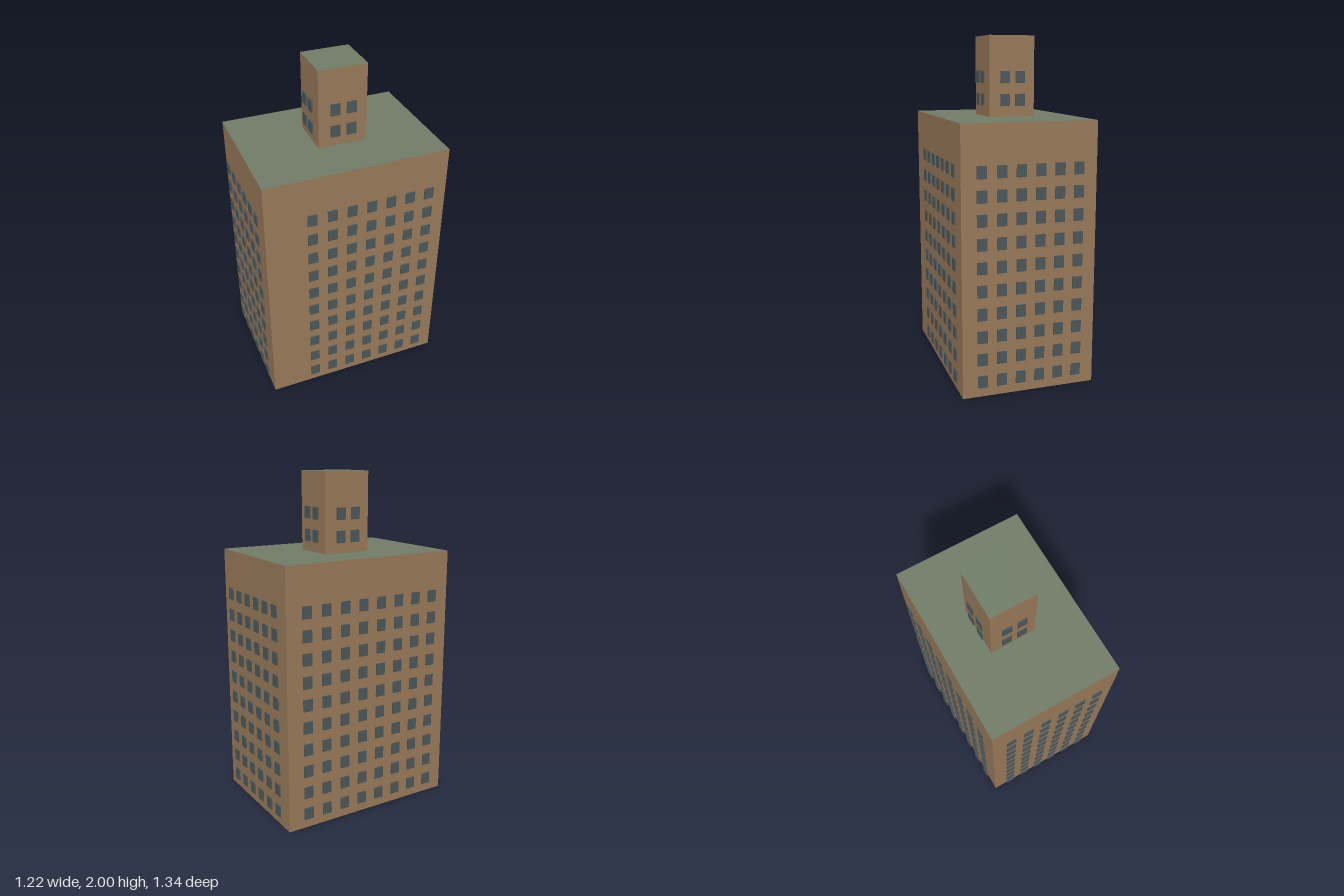
import * as THREE from 'three';
import { mergeGeometries } from 'three/addons/utils/BufferGeometryUtils.js';

const wall = new THREE.MeshStandardMaterial({ color: 0x967858 });
const roof = new THREE.MeshStandardMaterial({ color: 0x6f7c67 });
const glass = new THREE.MeshStandardMaterial({ color: 0x4a5659 });

const WIN_W = 0.057, WIN_H = 0.07, WIN_T = 0.007, WIN_OFFSET = 0.013;
const FLOOR = 0.1314;

// Evenly spaced positions centred on a wall, with equal end margins
const spread = (count, width) =>
  Array.from({ length: count }, (_, i) => ((i + 1) / (count + 1) - 0.5) * width);

const floors = (count, first) => Array.from({ length: count }, (_, i) => first + i * FLOOR);

// Grid of window panes just proud of one wall; turn is the wall's heading
function windowGrid(name, columns, rows, distance, turn) {
  const panes = [];
  for (const x of columns) {
    for (const y of rows) {
      panes.push(new THREE.BoxGeometry(WIN_W, WIN_H, WIN_T).translate(x, y, distance + WIN_OFFSET));
    }
  }
  const mesh = new THREE.Mesh(mergeGeometries(panes), glass);
  mesh.name = name;
  mesh.rotation.y = turn;
  return mesh;
}

// Box block with a green roof and windows on all four walls
function block(name, w, h, d, columns, rows) {
  const group = new THREE.Group();
  group.name = name;
  const body = new THREE.Mesh(
    new THREE.BoxGeometry(w, h, d).translate(0, h / 2, 0),
    [wall, wall, roof, wall, wall, wall]
  );
  body.name = name + 'Walls';
  group.add(body);
  ['front', 'left', 'back', 'right'].forEach((side, i) => {
    const distance = (i % 2 ? w : d) / 2;
    group.add(windowGrid(side + 'Windows', columns[side], rows, distance, i * Math.PI / 2));
  });
  return group;
}

export function createModel() {
  const model = new THREE.Group();
  model.name = 'officeBuilding';

  // Main block: the left wall leaves a blank strip near the front corner
  const W = 0.785, H = 1.535, D = 1.095;
  const main = block('mainBlock', W, H, D, {
    front: spread(6, W),
    back: spread(6, W),
    right: spread(8, D),
    left: Array.from({ length: 7 }, (_, i) => -0.278 + i * 0.1185),
  }, floors(10, 0.093));

  // Small rooftop tower
  const w = 0.272, d = 0.288;
  const tower = block('roofTower', w, 2 - H, d, {
    front: spread(2, w), back: spread(2, w), left: spread(2, d), right: spread(2, d),
  }, floors(2, 0.097));
  tower.position.set(-0.0235, H, -0.0167);

  // The whole building stands turned on its plot
  model.add(main, tower);
  model.rotation.y = -THREE.MathUtils.degToRad(29);
  const root = new THREE.Group();
  root.name = 'building';
  root.add(model);
  return root;
}
